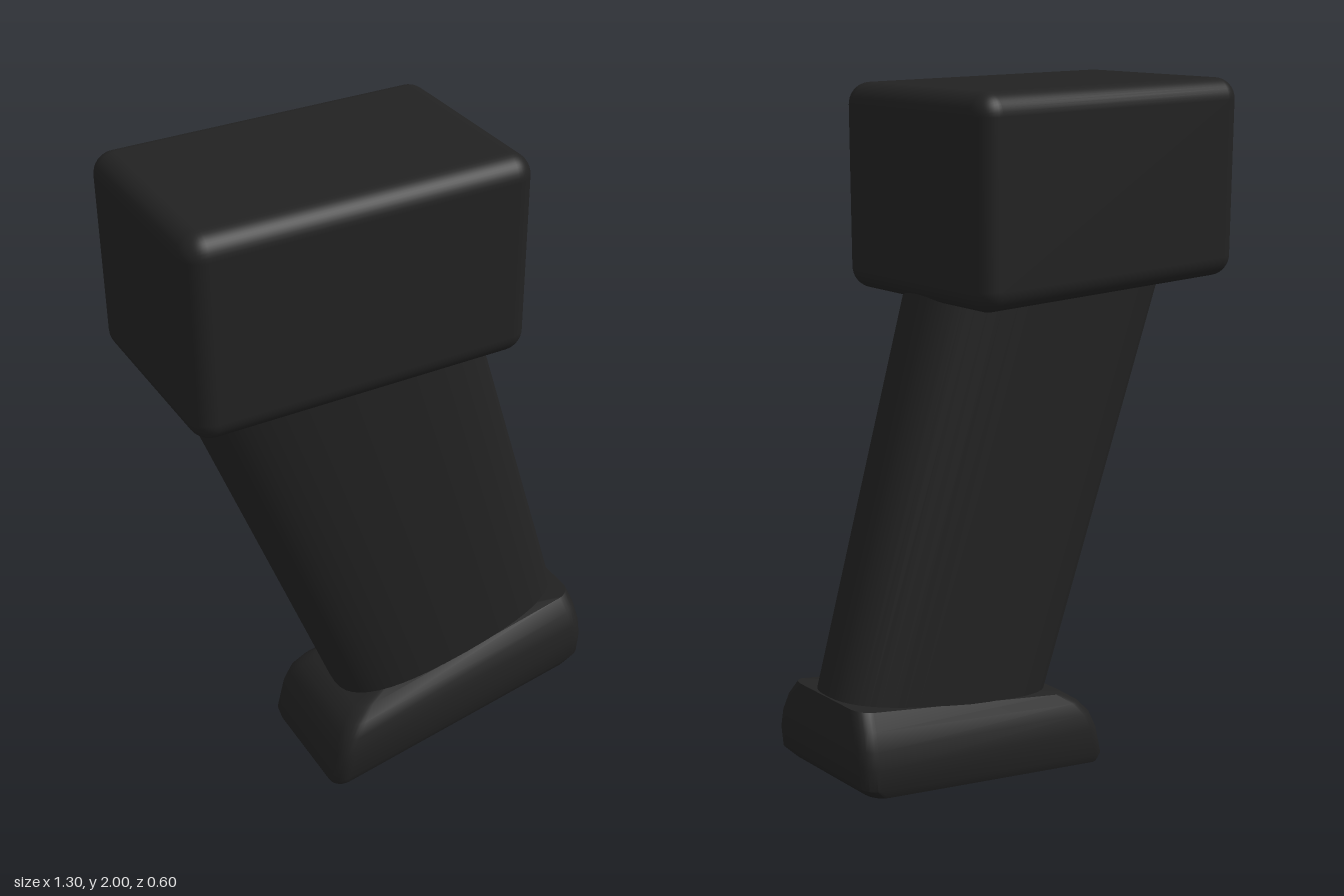
import * as THREE from 'three';
import { RoundedBoxGeometry } from 'three/addons/geometries/RoundedBoxGeometry.js';
import { toCreasedNormals } from 'three/addons/utils/BufferGeometryUtils.js';

const material = new THREE.MeshStandardMaterial({ color: 0x222222 });

// Rounded oval outline as [x, z] points
function ovalOutline(halfX, halfZ, power = 2.6, steps = 48) {
  return Array.from({ length: steps }, (_, i) => {
    const a = (i / steps) * Math.PI * 2;
    const bend = (v) => Math.sign(v) * Math.abs(v) ** (2 / power);
    return [halfX * bend(Math.cos(a)), halfZ * bend(Math.sin(a))];
  });
}

// Rectangle with rounded corners as [x, z] points
function rectOutline(halfX, halfZ, r = 0.045, steps = 6) {
  const points = [];
  for (let corner = 0; corner < 4; corner++) {
    const sx = corner === 0 || corner === 3 ? 1 : -1;
    const sz = corner < 2 ? 1 : -1;
    for (let i = 0; i <= steps; i++) {
      const a = (corner + i / steps) * Math.PI / 2;
      points.push([sx * (halfX - r) + r * Math.cos(a), sz * (halfZ - r) + r * Math.sin(a)]);
    }
  }
  return points;
}

// Capped skin over tilted sections, bottom to top: [leftX, leftY, rightX, rightY, halfZ]
function loft(sections, outline) {
  const positions = [], index = [];
  let n = 0;
  for (const [x0, y0, x1, y1, halfZ] of sections) {
    const half = (x1 - x0) / 2;
    const ring = outline(half, halfZ);
    n = ring.length;
    for (const [x, z] of ring) {
      const t = (x / half + 1) / 2;
      positions.push(x0 + (x1 - x0) * t, y0 + (y1 - y0) * t, z);
    }
  }
  const last = (sections.length - 1) * n;
  const bottom = positions.length / 3;
  for (const [x0, y0, x1, y1] of [sections[0], sections[sections.length - 1]]) {
    positions.push((x0 + x1) / 2, (y0 + y1) / 2, 0);
  }
  for (let j = 0; j < n; j++) {
    const k = (j + 1) % n;
    for (let row = 0; row < last; row += n) {
      index.push(row + j, row + n + j, row + k, row + k, row + n + j, row + n + k);
    }
    index.push(bottom, j, k, bottom + 1, last + k, last + j);
  }
  const geometry = new THREE.BufferGeometry();
  geometry.setAttribute('position', new THREE.Float32BufferAttribute(positions, 3));
  geometry.setIndex(index);
  return toCreasedNormals(geometry, 0.7);
}

function addPart(group, name, geometry) {
  const mesh = new THREE.Mesh(geometry, material);
  mesh.name = name;
  group.add(mesh);
  return mesh;
}

export function createModel() {
  const group = new THREE.Group();
  group.name = 'pistolGrip';

  // Block at the top
  const block = addPart(group, 'topBlock', new RoundedBoxGeometry(0.96, 0.56, 0.6, 5, 0.06));
  block.position.set(-0.17, 1.72, 0);

  // Slanted oval handle, its ends hidden inside the block and the foot
  addPart(group, 'handle', loft([
    [-0.115, 0.2, 0.632, 0.36, 0.158],
    [-0.603, 1.5, 0.282, 1.5, 0.176],
  ], ovalOutline));

  // Flared foot with a tilted sole
  addPart(group, 'foot', loft([
    [-0.215, 0.002, 0.575, 0.148, 0.175],
    [-0.235, 0.008, 0.615, 0.163, 0.2],
    [-0.24, 0.035, 0.645, 0.195, 0.212],
    [-0.218, 0.125, 0.65, 0.255, 0.212],
    [-0.198, 0.175, 0.648, 0.305, 0.203],
    [-0.17, 0.21, 0.64, 0.355, 0.185],
    [-0.13, 0.24, 0.627, 0.4, 0.157],
  ], rectOutline));

  return group;
}
